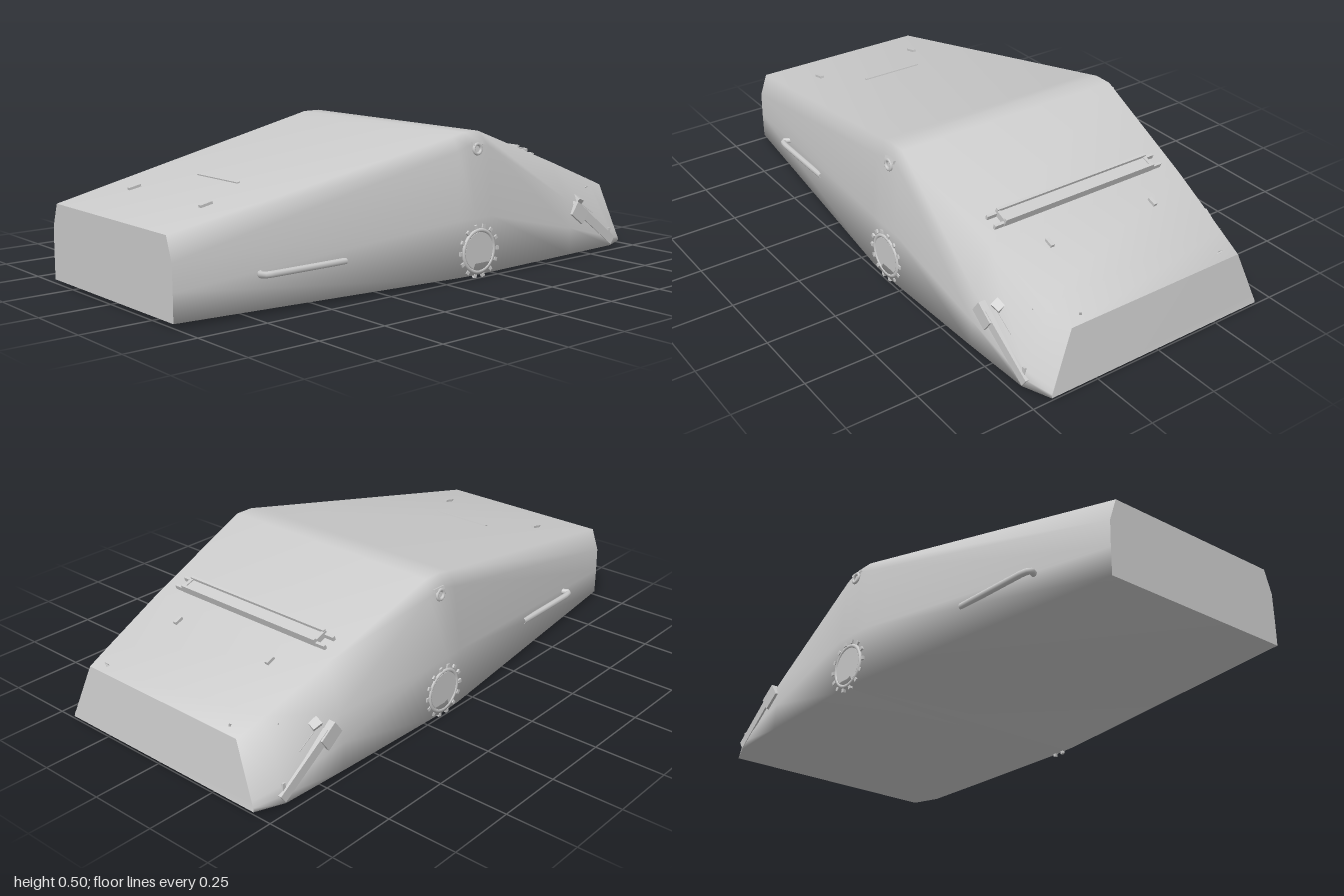
import * as THREE from 'three';

const material = new THREE.MeshStandardMaterial({ color: 0xcccccc, side: THREE.DoubleSide });

function add(parent, name, geometry, x = 0, y = 0, z = 0, rx = 0, ry = 0, rz = 0) {
  const mesh = new THREE.Mesh(geometry, material);
  mesh.name = name;
  mesh.position.set(x, y, z);
  mesh.rotation.set(rx, ry, rz);
  parent.add(mesh);
  return mesh;
}

const box = (w, h, d) => new THREE.BoxGeometry(w, h, d);

// Half cross-sections from rear to nose: sill, flank, shoulder, roof edge as [x, y, z]
const sections = [
  [[-1, 0.005, 0.37], [-1, 0.1, 0.37], [-1, 0.19, 0.368], [-1, 0.27, 0.34]],
  [[0.07, 0.003, 0.493], [0.07, 0.2, 0.488], [0.08, 0.435, 0.468], [0.08, 0.483, 0.438]],
  [[0.14, 0.003, 0.497], [0.14, 0.2, 0.492], [0.13, 0.45, 0.47], [0.13, 0.494, 0.44]],
  [[0.22, 0.003, 0.497], [0.22, 0.2, 0.491], [0.22, 0.445, 0.47], [0.2, 0.494, 0.44]],
  [[0.65, 0.002, 0.483], [0.65, 0.1, 0.48], [0.65, 0.2, 0.468], [0.63, 0.34, 0.395]],
  [[0.9, 0, 0.47], [0.9, 0.03, 0.468], [0.9, 0.06, 0.46], [0.88, 0.248, 0.36]],
  [[1, 0, 0.43], [0.998, 0.012, 0.428], [0.996, 0.03, 0.42], [0.978, 0.212, 0.345]],
];

function hullGeometry() {
  const mirrored = ([x, y, z]) => [x, y, -z];
  const rings = sections.map((s) => [...s, ...[...s].reverse().map(mirrored)]);
  const n = rings[0].length;
  const index = [];
  for (let i = 0; i < rings.length - 1; i++) {
    for (let j = 0; j < n; j++) {
      const a = i * n + j, b = i * n + (j + 1) % n;
      index.push(a, a + n, b, b, a + n, b + n);
    }
  }
  const geometry = new THREE.BufferGeometry();
  geometry.setAttribute('position', new THREE.Float32BufferAttribute(rings.flat(2), 3));
  geometry.setIndex(index);
  geometry.computeVertexNormals();
  return geometry;
}

// Flat plate closing one end of the hull
function endPlate(section, flip) {
  const ring = [...section, ...[...section].reverse().map(([x, y, z]) => [x, y, -z])];
  const index = [];
  for (let j = 1; j < ring.length - 1; j++) index.push(0, flip ? j + 1 : j, flip ? j : j + 1);
  const geometry = new THREE.BufferGeometry();
  geometry.setAttribute('position', new THREE.Float32BufferAttribute(ring.flat(), 3));
  geometry.setIndex(index);
  geometry.computeVertexNormals();
  return geometry;
}

function tube(points, radius) {
  const curve = new THREE.CatmullRomCurve3(points.map((p) => new THREE.Vector3(...p)), false, 'catmullrom', 0.1);
  return new THREE.TubeGeometry(curve, 24, radius, 8);
}

// Fittings on one flank, built for +z
function sideFittings(sign) {
  const side = new THREE.Group();
  side.name = sign > 0 ? 'frontFlankFittings' : 'backFlankFittings';

  // Grab rail
  add(side, 'grabRail', tube([[-0.7, 0.12, 0.395], [-0.715, 0.12, 0.425], [-0.68, 0.12, 0.433],
    [-0.45, 0.12, 0.436], [-0.39, 0.12, 0.436]], 0.011));

  // Round port with a bolted rim
  const port = new THREE.Group();
  port.name = 'roundPort';
  port.position.set(0.16, 0.085, 0.492);
  add(port, 'portRim', new THREE.TorusGeometry(0.073, 0.007, 8, 32));
  add(port, 'portCover', new THREE.CylinderGeometry(0.066, 0.066, 0.008, 32), 0, 0, 0, Math.PI / 2);
  for (let i = 0; i < 14; i++) {
    const a = (i / 14) * Math.PI * 2;
    add(port, 'portBolt', box(0.013, 0.013, 0.01), Math.cos(a) * 0.088, Math.sin(a) * 0.088, 0.001, 0, 0, a);
  }
  side.add(port);

  // Lifting eye under the roof edge
  add(side, 'liftingEye', new THREE.TorusGeometry(0.017, 0.006, 8, 16), 0.165, 0.437, 0.473, -0.1);
  add(side, 'liftingEyeBase', box(0.05, 0.012, 0.014), 0.168, 0.455, 0.466, -0.3);

  // Lamp, bracket and strut along the nose edge
  add(side, 'noseStrut', box(0.25, 0.034, 0.024), 0.81, 0.09, 0.462, 0, 0.03, -0.62);
  add(side, 'lampHousing', box(0.075, 0.055, 0.03), 0.705, 0.15, 0.468, 0, 0, -0.62);
  add(side, 'lampBracket', box(0.035, 0.03, 0.03), 0.735, 0.188, 0.438, 0.5, 0, -0.4);
  add(side, 'lampArm', box(0.1, 0.012, 0.014), 0.77, 0.155, 0.442, 0, 0, -0.55);
  add(side, 'edgeStrip', box(0.012, 0.025, 0.008), 0.9, 0.055, 0.46);

  // Small studs on the nose and roof
  const stud = new THREE.ConeGeometry(0.01, 0.03, 4);
  add(side, 'noseStud', stud, 0.84, 0.217, 0.385, 0.9, 0, -0.5);
  add(side, 'noseStud', stud, 0.95, 0.225, 0.29, 0.5, 0, -0.5);
  add(side, 'frontRoofHook', box(0.032, 0.014, 0.014), 0.7, 0.318, 0.215, 0, 0, -0.35);
  add(side, 'rearRoofHook', box(0.045, 0.012, 0.014), -0.775, 0.317, 0.215, 0, 0, 0.2);

  side.scale.z = sign;
  return side;
}

// Folded deflector bar standing across the sloping nose
function noseBar() {
  const bar = new THREE.Group();
  bar.name = 'noseBar';
  bar.position.set(0.562, 0.366, 0);
  bar.rotation.z = -0.34;
  add(bar, 'barPlate', box(0.04, 0.012, 0.6), 0, 0.012, 0);
  for (const s of [-1, 1]) {
    add(bar, 'barRail', box(0.01, 0.028, 0.62), s * 0.024, 0.014, 0);
    add(bar, 'barEnd', box(0.058, 0.022, 0.012), 0, 0.011, s * 0.305);
    for (const t of [-1, 1]) add(bar, 'barFoot', box(0.01, 0.016, 0.045), t * 0.022, 0.006, s * 0.325);
  }
  return bar;
}

export function createModel() {
  const model = new THREE.Group();
  model.name = 'armouredHull';

  add(model, 'hull', hullGeometry());
  add(model, 'rearPlate', endPlate(sections[0], false));
  add(model, 'nosePlate', endPlate(sections[sections.length - 1], true));
  model.add(noseBar());

  // Thin roof seam bar
  add(model, 'roofSeam', box(0.012, 0.008, 0.235), -0.58, 0.353, 0, 0, 0, 0.2);

  for (const sign of [1, -1]) model.add(sideFittings(sign));
  return model;
}
